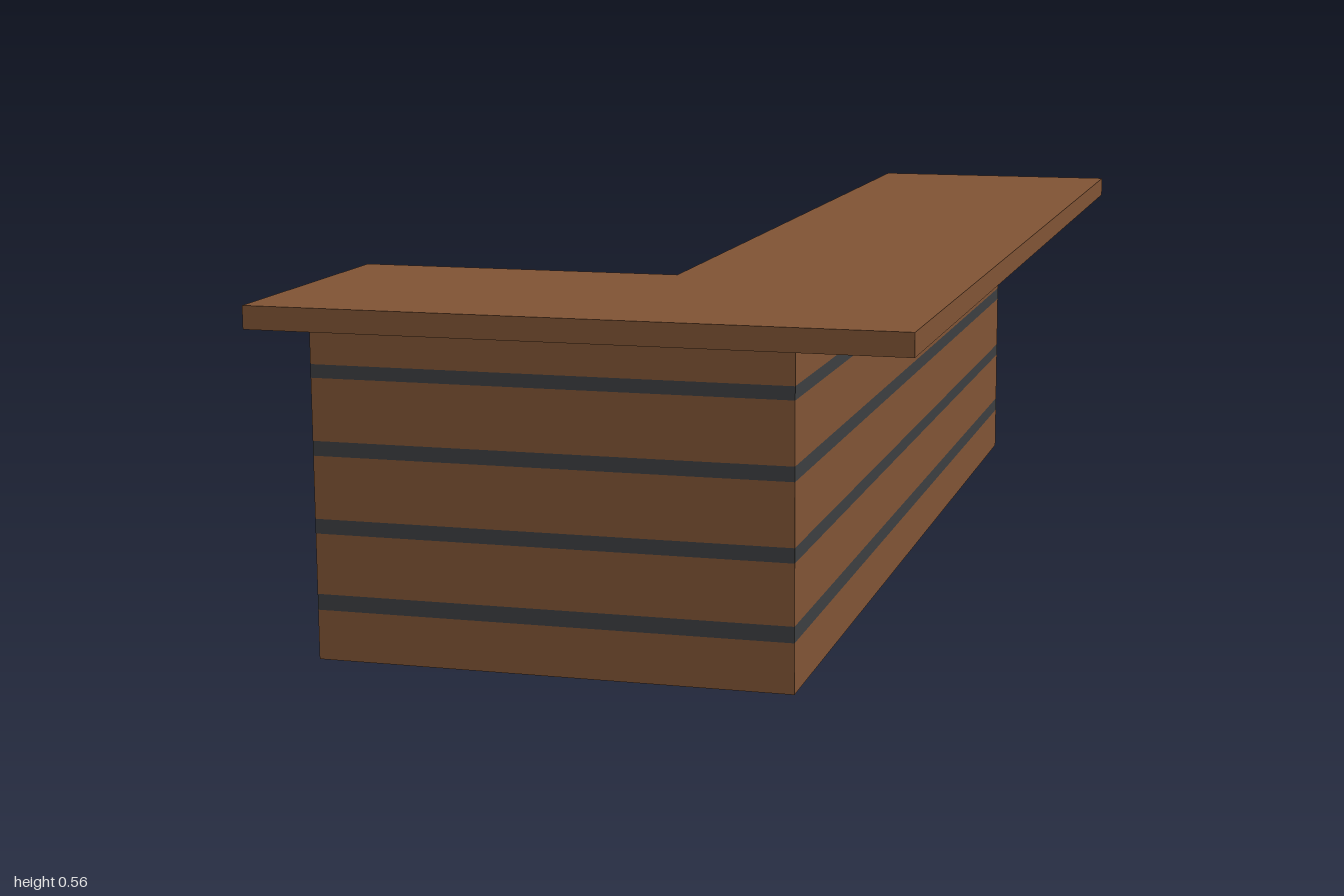
import * as THREE from 'three';
import { mergeGeometries } from 'three/addons/utils/BufferGeometryUtils.js';

const wood = new THREE.MeshStandardMaterial({ color: 0x815435 });
const trim = new THREE.MeshStandardMaterial({ color: 0x3d3f41 });
const grey = new THREE.MeshStandardMaterial({ color: 0xcccccc });

// L-shaped outline as [x, z]; fx and fz are the outer faces
const outline = (fx, fz) => [
  [-0.463, fz], [fx, fz], [fx, -1], [0.025, -1], [0.025, 0.565], [-0.463, 0.565],
];
const base = outline(0.256, 0.785);
const slab = outline(0.463, 1);
const ALL = [0, 1, 2, 3, 4, 5];

// Flat-shaded strip of quads joining two outlines along the chosen edges
function walls(lower, y0, upper, y1, edges = ALL) {
  const pos = [];
  for (const i of edges) {
    const j = (i + 1) % lower.length;
    const a = [lower[i][0], y0, lower[i][1]], b = [lower[j][0], y0, lower[j][1]];
    const c = [upper[j][0], y1, upper[j][1]], d = [upper[i][0], y1, upper[i][1]];
    pos.push(...a, ...b, ...c, ...a, ...c, ...d);
  }
  const g = new THREE.BufferGeometry();
  g.setAttribute('position', new THREE.Float32BufferAttribute(pos, 3));
  g.computeVertexNormals();
  return g;
}

// Horizontal cap; dir is 1 for facing up, -1 for facing down
function cap(points, y, dir) {
  const shape = new THREE.Shape(points.map(([x, z]) => new THREE.Vector2(x, -dir * z)));
  return new THREE.ShapeGeometry(shape).rotateX(-dir * Math.PI / 2).translate(0, y, 0);
}

export function createModel() {
  const group = new THREE.Group();
  const add = (name, geometry, material) => {
    const mesh = new THREE.Mesh(geometry, material);
    mesh.name = name;
    group.add(mesh);
  };

  // Body: wooden bands alternating with flush dark stripes
  const levels = [0, 0.075, 0.099, 0.19, 0.212, 0.306, 0.328, 0.421, 0.441, 0.515];
  const bands = [[], []];
  for (let i = 0; i < levels.length - 1; i++) {
    bands[i % 2].push(walls(base, levels[i], base, levels[i + 1]));
  }
  add('bodyPanels', mergeGeometries(bands[0]), wood);
  add('bodyStripes', mergeGeometries(bands[1]), trim);
  add('bodyBottom', cap(base, 0, -1), grey);

  // Countertop: flush with the inner faces, overhanging the two outer faces
  add('counterTop', cap(slab, 0.558, 1), wood);
  add('counterEdge', mergeGeometries([
    walls(slab, 0.525, slab, 0.558),
    walls(base, 0.515, slab, 0.525, [2, 3, 4, 5]),
  ]), wood);

  // Sloped underside of the overhang
  add('overhangUnderside', walls(base, 0.515, slab, 0.525, [0, 1]), grey);

  return group;
}
